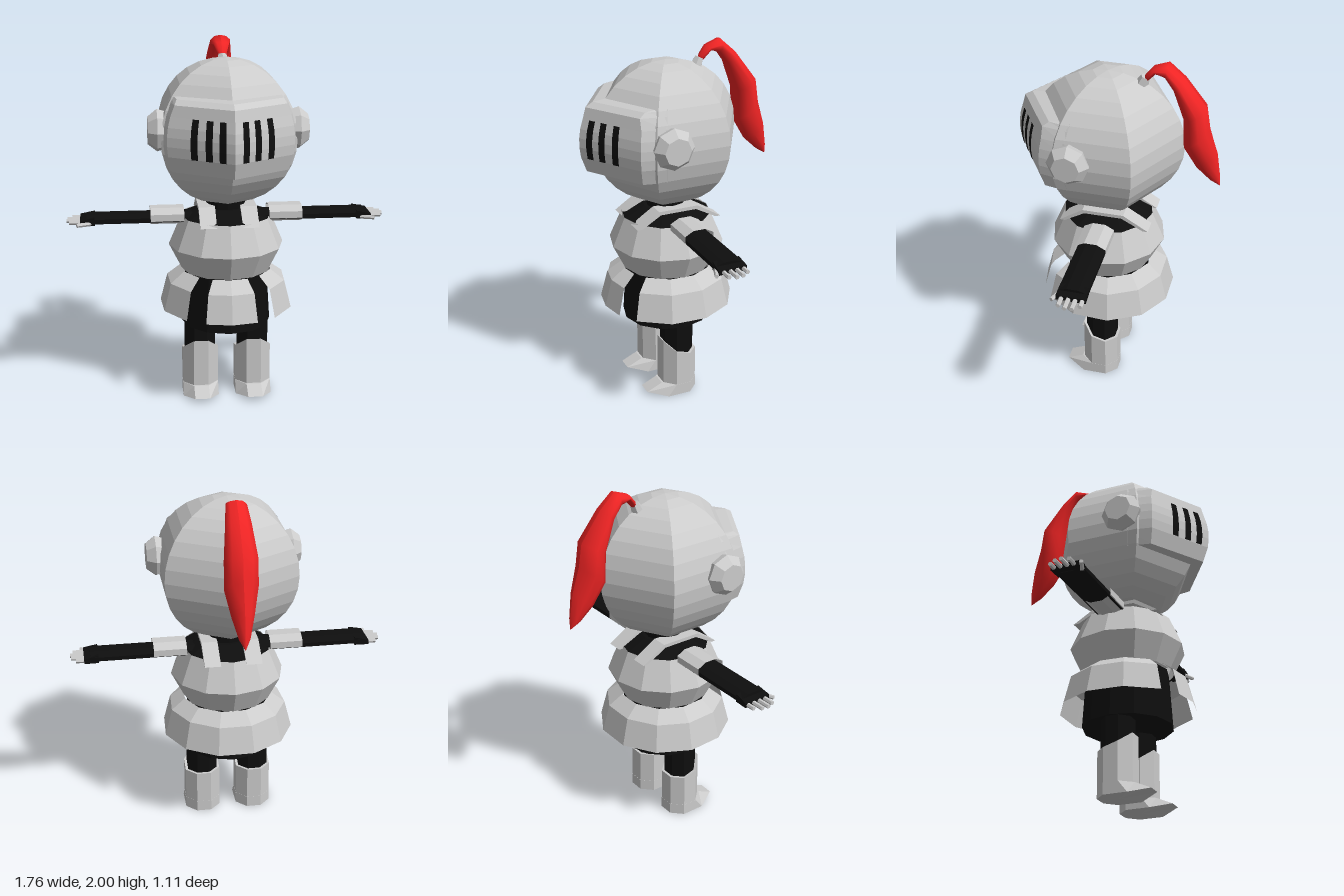
import * as THREE from 'three';

const Z = 0.06; // depth of the body axis
const mat = (color, flat = true) =>
  new THREE.MeshStandardMaterial({ color, flatShading: flat, side: THREE.DoubleSide });
const steel = mat(0xcccccc), black = mat(0x0e0e0e), red = mat(0xf02424, false);
const rad = THREE.MathUtils.degToRad;

export function createModel() {
  const model = new THREE.Group();

  const add = (name, geo, material, x = 0, y = 0, z = 0, parent = model) => {
    const mesh = new THREE.Mesh(geo, material);
    mesh.name = name;
    mesh.position.set(x, y, z);
    parent.add(mesh);
    return mesh;
  };
  const lathe = (pts, sides, start = 0, sweep = 360) => new THREE.LatheGeometry(
    pts.map(p => new THREE.Vector2(...p)), sides, rad(start), rad(sweep));

  // Surface through rows of [x, y, z] points
  const loft = rows => {
    const n = rows[0].length, index = [];
    for (let j = 0; j < rows.length - 1; j++) for (let i = 0; i < n - 1; i++) {
      const a = j * n + i, b = a + 1, d = a + n;
      index.push(a, b, d, d, b, d + 1);
    }
    const geo = new THREE.BufferGeometry();
    geo.setAttribute('position', new THREE.Float32BufferAttribute(rows.flat(2), 3));
    geo.setIndex(index);
    geo.computeVertexNormals();
    return geo;
  };

  // Move vertices of a geometry by a rule
  const warp = (geo, rule) => {
    const p = geo.attributes.position, v = new THREE.Vector3();
    for (let i = 0; i < p.count; i++) {
      rule(v.fromBufferAttribute(p, i));
      p.setXYZ(i, v.x, v.y, v.z);
    }
    geo.computeVertexNormals();
    return geo;
  };

  // Helmet: six-sided globe with an edge at front and back
  const helmet = new THREE.SphereGeometry(1, 6, 16, Math.PI / 6);
  helmet.scale(0.42, 0.4, 0.42);
  add('helmet', helmet, steel, 0, 1.52, Z);

  // Visor: the helmet front pushed forward
  const helmetRadius = y => 1.05 * Math.sqrt(0.16 - (y - 1.52) ** 2);
  const visorPoint = (y, push, t) => { // t runs from the centre ridge (0) to the side edge (1)
    const r = helmetRadius(y);
    return [r * 0.8 * t, y, Z + r + push - 0.5 * r * Math.abs(t)];
  };
  const visorRow = ([y, push]) => {
    const r = helmetRadius(y), end = s => [s * r * 0.868, y, Z + r * 0.36];
    return [end(-1), ...[-1, 0, 1].map(t => visorPoint(y, push, t)), end(1)];
  };
  const slitLevels = [1.445, 1.5, 1.55, 1.6, 1.655];
  add('visor', loft([[1.36, -0.02], [1.36, 0.075], ...slitLevels.map(y => [y, 0.078]),
    [1.715, 0.09], [1.74, 0.065], [1.75, -0.02]].map(visorRow)), steel);

  for (const s of [-1, 1]) for (const t of [0.18, 0.38, 0.6]) {
    const edges = [s * t - 0.05, s * t + 0.05];
    add('visorSlit', loft(slitLevels.map(y => edges.map(e => visorPoint(y, 0.083, e)))), black);
  }

  // Visor hinges
  for (const s of [-1, 1]) {
    const hinge = add('visorHinge', lathe([[0.1, 0], [0.115, 0.05], [0.075, 0.1], [0, 0.1]], 8),
      steel, s * 0.33, 1.555, 0.18);
    hinge.rotation.set(0, 0, -s * Math.PI / 2);
  }

  // Plume holder and plume
  const holder = add('plumeHolder', new THREE.CylinderGeometry(0.025, 0.035, 0.045, 6), steel, 0, 1.888, -0.13);
  holder.rotation.x = -0.4;
  const plume = [ // outer z, outer y, inner z, inner y, half width
    [-0.13, 1.895, -0.15, 1.885, 0.012], [-0.14, 1.925, -0.165, 1.9, 0.028],
    [-0.18, 1.97, -0.2, 1.942, 0.045], [-0.26, 2.0, -0.245, 1.925, 0.058],
    [-0.35, 1.92, -0.29, 1.86, 0.07], [-0.47, 1.765, -0.345, 1.7, 0.09],
    [-0.49, 1.64, -0.35, 1.53, 0.09], [-0.535, 1.5, -0.42, 1.41, 0.06],
    [-0.555, 1.36, -0.5, 1.335, 0.03], [-0.557, 1.3, -0.555, 1.3, 0.002]];
  add('plume', loft(plume.map(([oz, oy, iz, iy, w]) => Array.from({ length: 11 }, (_, i) => {
    const a = i / 10 * Math.PI * 2, c = Math.cos(a) / 2;
    return [w * Math.sin(a), (oy + iy) / 2 + c * (oy - iy), (oz + iz) / 2 + c * (oz - iz)];
  }))), red);

  // Torso
  add('breastplate', lathe([[0.25, 0.745], [0.32, 0.885], [0.25, 1.05]], 12), steel, 0, 0, Z);
  add('undershirt', lathe([[0.25, 1.045], [0.13, 1.1], [0.11, 1.1], [0.11, 1.15]], 12), black, 0, 0, Z);

  // Shoulder straps running front to back
  const strap = new THREE.Shape([[0.3, 1.035], [0.17, 1.12], [-0.06, 1.12], [-0.2, 1.035],
    [-0.17, 1.035], [-0.05, 1.1], [0.16, 1.1], [0.27, 1.035]].map(p => new THREE.Vector2(...p)));
  const strapGeo = new THREE.ExtrudeGeometry(strap, { depth: 0.09, bevelEnabled: false });
  strapGeo.rotateY(-Math.PI / 2);
  for (const x of [-0.07, 0.16]) add('shoulderStrap', strapGeo, steel, x);

  // Skirt plates over a dark tunic
  const flare = [[0.375, 0.53], [0.335, 0.685], [0.255, 0.745]];
  add('skirtPlate', lathe(flare, 9, 40, 280), steel, 0, 0, Z);
  add('frontSkirtPlate', lathe(flare, 2, -22, 44), steel, 0, 0, Z);
  add('tunic', lathe([[0, 0.43], [0.25, 0.43], [0.23, 0.745]], 12), black, 0, 0, Z);

  // Arms, built on +x and turned round for the other side
  const arm = s => {
    const g = new THREE.Group();
    g.name = s > 0 ? 'leftArm' : 'rightArm';
    const tube = (x0, x1, h, d, open) => {
      const geo = new THREE.CylinderGeometry(1, 1, x1 - x0, 8, 1, open, Math.PI / 8);
      geo.rotateZ(-Math.PI / 2);
      geo.scale(1, h / 1.848, d / 1.848);
      geo.translate((x0 + x1) / 2, 0, 0);
      return geo;
    };
    add('sleeve', tube(0.15, 0.77, 0.055, 0.155, false), black, 0, 1.043, 0.055, g);
    add('shoulderGuard', tube(0.235, 0.42, 0.09, 0.165, true), steel, 0, 1.055, 0.055, g);
    const palm = warp(new THREE.BoxGeometry(0.08, 0.045, 0.15), v => {
      if (v.x > 0) { v.y = v.y * 0.6 - 0.008; v.z *= 1.06; }
    });
    add('palm', palm, black, 0.765, 1.043, 0.055, g);
    [0.06, 0.075, 0.07, 0.045].forEach((len, i) => {
      const finger = add('finger', new THREE.CylinderGeometry(0.012, 0.013, len + 0.03, 6), steel,
        0.775 + len / 2 + 0.015, 1.034, 0.105 - i * 0.037, g);
      finger.rotation.z = -Math.PI / 2;
    });
    const thumb = add('thumb', new THREE.CylinderGeometry(0.011, 0.013, 0.08, 6), steel, 0.785, 1.03, 0.138, g);
    thumb.rotation.set(0, -0.4, -Math.PI / 2);
    g.scale.x = s;
    model.add(g);
  };

  // Legs with greaves and pointed shoes
  const leg = s => {
    const g = new THREE.Group();
    g.name = s > 0 ? 'leftLeg' : 'rightLeg';
    const column = (r, h) => new THREE.CylinderGeometry(r, r, h, 8, 1, false, Math.PI / 8);
    add('trouserLeg', column(0.092, 0.26), black, 0, 0.36, 0, g);
    const greave = warp(column(0.108, 0.2).translate(0, 0.155, 0), v => {
      if (v.y > 0.2) v.y = v.z > 0.08 ? 0.335 : v.z > 0.02 ? 0.28 : 0.255;
    });
    add('greave', greave, steel, 0, 0, 0, g);
    const shoe = warp(column(0.109, 0.065).translate(0, 0.0325, 0), v => {
      if (v.z < 0.02) return;
      const toe = v.z > 0.08;
      if (v.y < 0.03) {
        v.z += toe ? 0.1 : 0.05;
        v.y = toe ? 0.025 : 0;
      } else if (toe) v.z += 0.01;
    });
    add('shoe', shoe, steel, 0, 0, 0, g);
    g.position.set(s * 0.15, 0, 0.065);
    model.add(g);
  };
  for (const s of [-1, 1]) { arm(s); leg(s); }

  return model;
}
